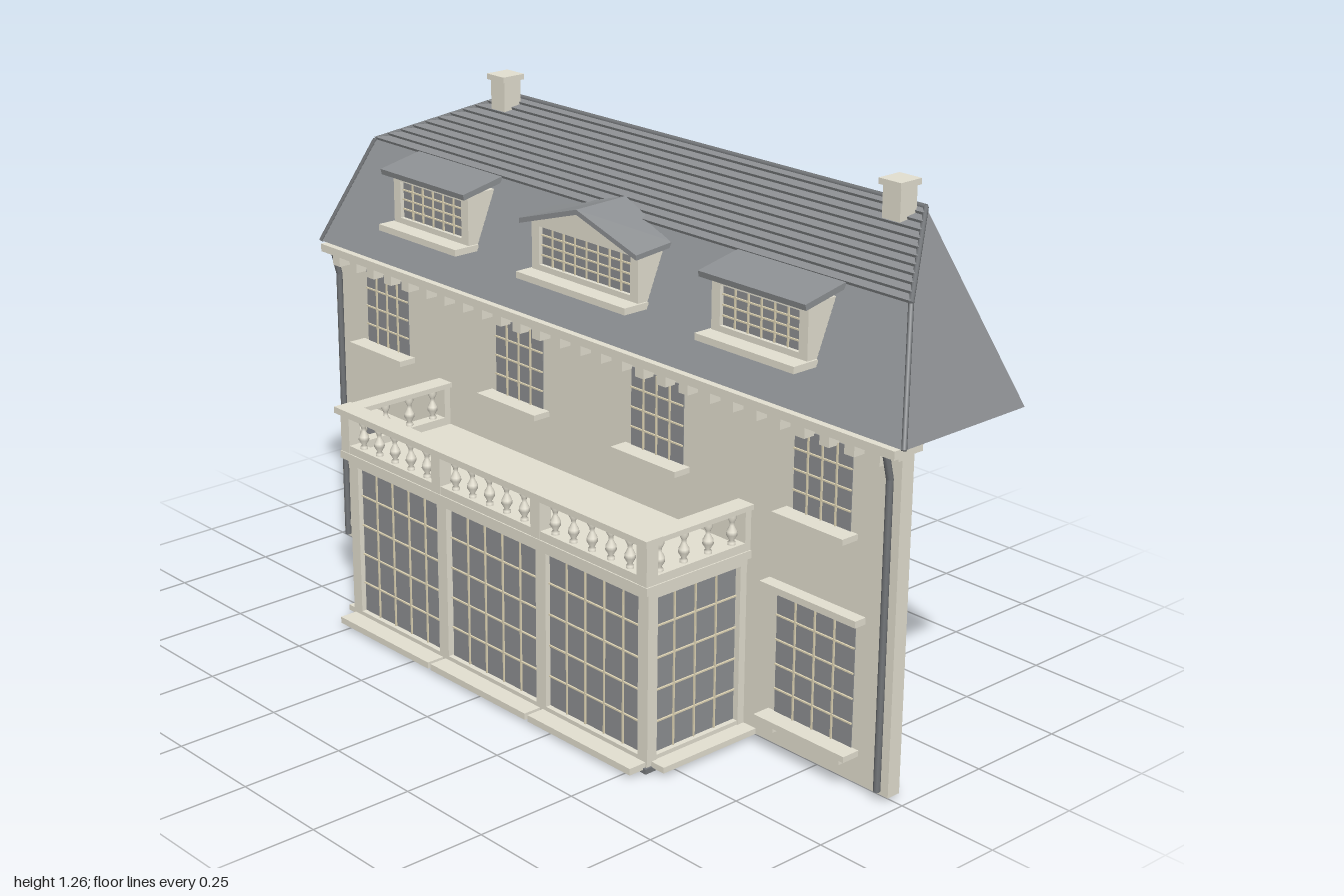
import * as THREE from 'three';

const mat = (name, color, side = THREE.FrontSide) => {
  const m = new THREE.MeshStandardMaterial({ color, side });
  m.name = name;
  return m;
};

export function createModel() {
  const stone = mat('stone', 0xe4e0d1);
  const slate = mat('slate', 0x8e9194, THREE.DoubleSide);
  const glass = mat('glass', 0x8e9092);
  const brass = mat('pale glazing bar', 0xe0d6b6);
  const iron = mat('iron', 0x74777a);

  const root = new THREE.Group();
  root.name = 'house';
  const group = (name, parent = root) => {
    const g = new THREE.Group();
    g.name = name;
    parent.add(g);
    return g;
  };
  const add = (name, geo, m, parent = root) => {
    const mesh = new THREE.Mesh(geo, m);
    mesh.name = name;
    parent.add(mesh);
    return mesh;
  };
  // box given by its min and max on each axis
  const box = (name, x0, x1, y0, y1, z0, z1, m = stone, parent = root) => {
    const mesh = add(name, new THREE.BoxGeometry(x1 - x0, y1 - y0, z1 - z0), m, parent);
    mesh.position.set((x0 + x1) / 2, (y0 + y1) / 2, (z0 + z1) / 2);
    return mesh;
  };
  // round bar between two points
  const bar = (name, a, b, r, m, parent = root) => {
    const p = new THREE.Vector3(...a), q = new THREE.Vector3(...b);
    const mesh = add(name, new THREE.CylinderGeometry(r, r, p.distanceTo(q), 8), m, parent);
    mesh.position.copy(p).add(q).multiplyScalar(0.5);
    mesh.quaternion.setFromUnitVectors(new THREE.Vector3(0, 1, 0), q.sub(p).normalize());
    return mesh;
  };
  // flat faces from lists of three or four corners
  const faces = (name, list, m, parent = root) => {
    const pos = [];
    for (const f of list)
      for (let i = 1; i < f.length - 1; i++) pos.push(...f[0], ...f[i], ...f[i + 1]);
    const geo = new THREE.BufferGeometry();
    geo.setAttribute('position', new THREE.Float32BufferAttribute(pos, 3));
    geo.computeVertexNormals();
    return add(name, geo, m, parent);
  };
  // glazing with bars, lying in the local xy plane and facing +z
  const glazing = (parent, w, h, cols, rows, depth) => {
    const g = group('glazing', parent);
    box('pane', -w / 2, w / 2, 0, h, -depth, 0, glass, g);
    for (let i = 1; i < cols; i++) {
      const x = -w / 2 + (w * i) / cols;
      box('glazingBar', x - 0.0017, x + 0.0017, 0, h, -0.001, 0.004, brass, g);
    }
    for (let j = 1; j < rows; j++) {
      const y = (h * j) / rows;
      box('glazingBar', -w / 2, w / 2, y - 0.0017, y + 0.0017, -0.001, 0.004, brass, g);
    }
    return g;
  };

  // main wall, cornice and dentils
  box('wall', -0.97, 0.97, 0.01, 0.8, -0.023, 0.013);
  box('cornice', -0.98, 0.98, 0.797, 0.817, -0.037, 0.05);
  box('frieze', -0.97, 0.97, 0.785, 0.8, 0, 0.025);
  for (let i = -13; i <= 13; i++)
    box('dentil', i * 0.071 - 0.014, i * 0.071 + 0.014, 0.77, 0.798, 0.01, 0.045);

  // wall windows
  const wallWindow = (x, y0, y1, w, cols, rows) => {
    const g = group('wallWindow');
    glazing(g, w, y1 - y0, cols, rows, 0.041).position.set(x, y0, 0.015);
    box('sill', x - w / 2 - 0.02, x + w / 2 + 0.02, y0 - 0.012, y0 + 0.002, 0, 0.06, stone, g);
    return g;
  };
  for (const s of [-1, 1]) {
    const x = s * 0.745;
    const g = wallWindow(x, 0.088, 0.385, 0.232, 4, 5);
    box('lintel', x - 0.142, x + 0.142, 0.39, 0.406, 0, 0.045, stone, g);
    for (const t of [-1, 1])
      box('sillBracket', x + t * 0.1 - 0.009, x + t * 0.1 + 0.009, 0.055, 0.077, 0, 0.045, stone, g);
    wallWindow(s * 0.752, 0.585, 0.775, 0.168, 4, 4);
    wallWindow(s * 0.24, 0.585, 0.775, 0.172, 4, 4);

    // downpipes
    bar('downpipe', [s * 0.945, 0.02, 0.021], [s * 0.945, 0.74, 0.021], 0.008, iron);
    bar('downpipeBend', [s * 0.945, 0.74, 0.021], [s * 0.945, 0.8, 0.036], 0.008, iron);
  }

  // bay: floor, sills, posts and glazing
  const bay = group('bay');
  box('bayFloor', -0.535, 0.535, 0, 0.012, 0.01, 0.315, iron, bay);
  box('bayPlinth', -0.53, 0.53, 0.012, 0.034, 0.01, 0.308, stone, bay);
  for (const x of [-0.354, 0, 0.354])
    box('baySill', x - 0.172, x + 0.172, 0.008, 0.024, 0.28, 0.354, stone, bay);
  for (const s of [-1, 1]) {
    box('baySideSill', s * 0.545 - 0.026, s * 0.545 + 0.026, 0.01, 0.024, 0.01, 0.295, stone, bay);
    box('cornerPost', s * 0.516 - 0.016, s * 0.516 + 0.016, 0.02, 0.43, 0.28, 0.308, stone, bay);
    box('frontPost', s * 0.177 - 0.017, s * 0.177 + 0.017, 0.02, 0.43, 0.275, 0.308, stone, bay);
    box('wallPost', s * 0.516 - 0.016, s * 0.516 + 0.016, 0.02, 0.43, 0.01, 0.032, stone, bay);
    const side = glazing(bay, 0.25, 0.382, 4, 5, 0.02);
    side.rotation.y = s * Math.PI / 2;
    side.position.set(s * 0.517, 0.032, 0.156);
  }
  for (const x of [-0.347, 0, 0.347])
    glazing(bay, 0.312, 0.382, 5, 5, 0.02).position.set(x, 0.032, 0.295);
  box('bayBeam', -0.534, 0.534, 0.413, 0.432, 0.01, 0.31, stone, bay);
  box('bayRoof', -0.545, 0.545, 0.431, 0.45, 0.01, 0.325, stone, bay);

  // balustrade
  const rail = group('balustrade');
  const profile = [[0.009, 0], [0.009, 0.008], [0.005, 0.012], [0.013, 0.026], [0.012, 0.034],
    [0.005, 0.048], [0.006, 0.056], [0.011, 0.066], [0.009, 0.08]].map(p => new THREE.Vector2(...p));
  const balusterGeo = new THREE.LatheGeometry(profile, 12);
  const baluster = (x, z) => add('baluster', balusterGeo, stone, rail).position.set(x, 0.468, z);
  box('frontBaseRail', -0.542, 0.542, 0.449, 0.47, 0.292, 0.322, stone, rail);
  box('frontTopRail', -0.552, 0.552, 0.546, 0.562, 0.285, 0.334, stone, rail);
  for (const s of [-1, 1]) {
    const x = s * 0.526;
    box('sideBaseRail', x - 0.016, x + 0.016, 0.449, 0.47, 0.01, 0.3, stone, rail);
    box('sideTopRail', x - 0.024, x + 0.024, 0.548, 0.56, 0.01, 0.3, stone, rail);
    box('cornerPedestal', x - 0.016, x + 0.016, 0.449, 0.548, 0.29, 0.323, stone, rail);
    box('wallPedestal', x - 0.016, x + 0.016, 0.449, 0.548, 0.01, 0.03, stone, rail);
    box('middlePedestal', s * 0.177 - 0.016, s * 0.177 + 0.016, 0.449, 0.548, 0.29, 0.323, stone, rail);
    for (let i = 0; i < 4; i++) baluster(x, 0.056 + i * 0.072);
  }
  for (const c of [-0.35, 0, 0.35])
    for (let i = -2; i <= 2; i++) baluster(c + i * 0.061, 0.307);

  // roof outline: half width and depth at each height
  const EAVE = [0.995, 0.82, 0.038], BREAK = [0.9, 1.085, -0.072], RIDGE = [0.69, 1.193, -0.347];
  const REAR = [0.99, 0.82, -0.345];
  const roof = group('roof');
  const openings = [[-0.69, -0.435], [-0.165, 0.165], [0.435, 0.69]];
  // overlapping slate courses, left open behind the dormers
  const courses = (name, A, B, n, lift) => {
    const list = [];
    const len = Math.hypot(B[1] - A[1], B[2] - A[2]);
    const ny = (A[2] - B[2]) / len * lift, nz = (B[1] - A[1]) / len * lift;
    const at = t => A.map((v, k) => v + (B[k] - v) * t);
    for (let i = 0; i < n; i++) {
      const a = at(i / n), b = at((i + 1) / n), mid = (a[1] + b[1]) / 2;
      const cuts = mid > 0.93 && mid < 1.04 ? openings.flat() : [];
      const lo = [-a[0], ...cuts, a[0]], hi = [-b[0], ...cuts, b[0]];
      for (let k = 0; k < lo.length; k += 2) {
        const p = [lo[k], a[1] + ny, a[2] + nz], q = [lo[k + 1], a[1] + ny, a[2] + nz];
        list.push([p, q, [hi[k + 1], b[1], b[2]], [hi[k], b[1], b[2]]]);
        list.push([[lo[k], a[1], a[2]], [lo[k + 1], a[1], a[2]], q, p]);
      }
    }
    faces(name, list, slate, roof);
  };
  courses('lowerSlope', EAVE, BREAK, 22, 0.0015);
  courses('upperSlope', BREAK, RIDGE, 11, 0.007);
  const flip = p => [-p[0], p[1], p[2]];
  faces('roofBack', [[REAR, flip(REAR), flip(RIDGE), RIDGE]], slate, roof);
  faces('leftHip', [[EAVE, REAR, BREAK], [BREAK, REAR, RIDGE]], slate, roof);
  faces('rightHip', [[EAVE, BREAK, REAR], [BREAK, RIDGE, REAR]].map(f => f.map(flip)), slate, roof);
  for (const f of [p => p, flip]) {
    bar('lowerHipTrim', f(EAVE), f(BREAK), 0.006, iron, roof);
    bar('upperHipTrim', f(BREAK), f(RIDGE), 0.006, iron, roof);
  }
  bar('ridgeTrim', RIDGE, flip(RIDGE), 0.007, iron, roof);

  // dormers: hollow frame, cheeks, sill and glazing
  const dormer = (x, half, cols) => {
    const g = group('dormer');
    g.position.x = x;
    box('dormerSill', -half - 0.005, half + 0.005, 0.915, 0.931, -0.005, 0.067, stone, g);
    box('dormerHead', -half, half, 1.037, 1.058, -0.01, 0.022, stone, g);
    box('dormerFoot', -half, half, 0.925, 0.945, -0.005, 0.022, stone, g);
    const cheek = new THREE.Shape([[-0.022, 0.925], [-0.022, 1.057], [0.065, 1.057], [0.008, 0.925]]
      .map(p => new THREE.Vector2(...p)));
    for (const s of [-1, 1]) {
      const c = add('cheek', new THREE.ExtrudeGeometry(cheek, { depth: 0.026, bevelEnabled: false }), stone, g);
      c.rotation.y = Math.PI / 2;
      c.position.x = s * (half - 0.013) - 0.013;
    }
    glazing(g, 2 * half - 0.05, 0.096, cols, 4, 0.008).position.set(0, 0.943, 0.012);
    return g;
  };
  for (const s of [-1, 1]) {
    const g = dormer(s * 0.56, 0.144, 6);
    const top = box('dormerRoof', -0.16, 0.16, -0.007, 0.007, -0.065, 0.065, slate, g);
    top.position.set(0, 1.071, -0.016);
    top.rotation.x = 0.2;
  }
  const centre = dormer(0, 0.182, 8);
  // pediment and gabled roof of the middle dormer
  const pediment = new THREE.Shape([[-0.185, 1.055], [0.185, 1.055], [0, 1.1]].map(p => new THREE.Vector2(...p)));
  add('pediment', new THREE.ExtrudeGeometry(pediment, { depth: 0.096, bevelEnabled: false }), stone, centre)
    .position.z = -0.06;
  const L = [-0.2, 1.052, 0.045], R = flip(L), T = [0, 1.114, 0.045];
  const Lb = [-0.2, 1.062, -0.065], Rb = flip(Lb), Tb = [0, 1.118, -0.106];
  const down = p => [p[0], p[1] - 0.012, p[2]];
  faces('gableRoof', [[L, T, Tb, Lb], [T, R, Rb, Tb], [down(L), down(T), T, L], [down(T), down(R), R, T],
    [down(L), L, Lb, down(Lb)], [R, down(R), down(Rb), Rb],
    [down(L), down(Lb), down(Tb), down(T)], [down(T), down(Tb), down(Rb), down(R)]], slate, centre);

  // chimneys
  for (const s of [-1, 1]) {
    const g = group('chimney');
    const x = s * 0.657;
    box('stack', x - 0.026, x + 0.026, 1.12, 1.25, -0.325, -0.273, stone, g);
    box('chimneyCap', x - 0.032, x + 0.032, 1.246, 1.26, -0.331, -0.265, stone, g);
  }
  return root;
}
